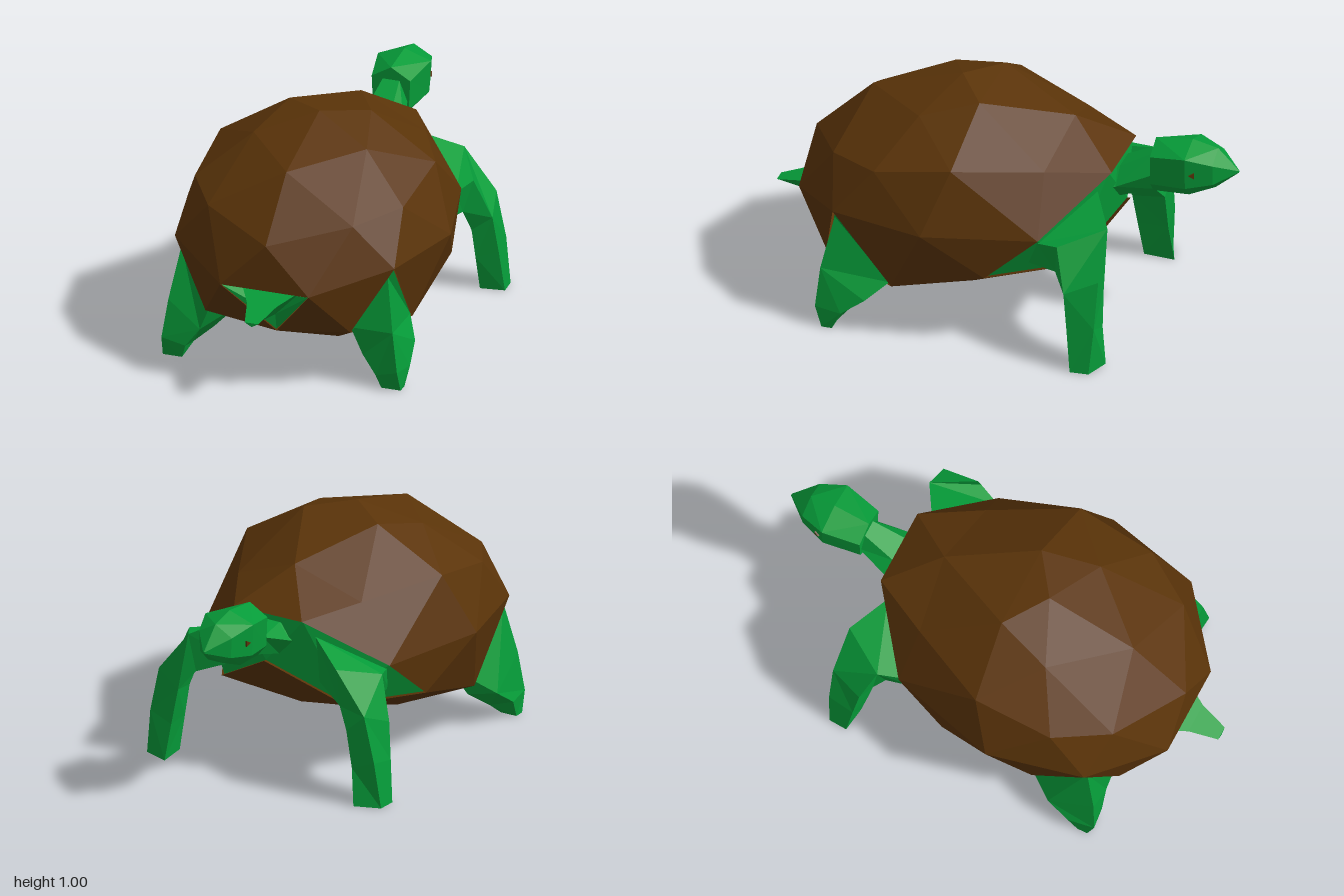
import * as THREE from 'three';

const mat = (name, color) => new THREE.MeshStandardMaterial({
  name, color, flatShading: true, side: THREE.DoubleSide,
});

// Flat-shaded geometry from a list of [a, b, c] corner triples
function facets(tris) {
  const g = new THREE.BufferGeometry();
  g.setAttribute('position', new THREE.Float32BufferAttribute(tris.flat(2), 3));
  g.computeVertexNormals();
  return g;
}

// Joins closed cross-sections (equal-length rings of [x, y, z]) into a faceted skin
function loft(rings, { capStart = false, capEnd = false } = {}) {
  const n = rings[0].length, tris = [];
  for (let i = 0; i < rings.length - 1; i++) {
    for (let j = 0; j < n; j++) {
      const k = (j + 1) % n;
      const a = rings[i][j], b = rings[i][k], c = rings[i + 1][k], d = rings[i + 1][j];
      if ((i + j) % 2) tris.push([a, b, c], [a, c, d]);
      else tris.push([a, b, d], [b, c, d]);
    }
  }
  const cap = (r) => { for (let j = 1; j < n - 1; j++) tris.push([r[0], r[j], r[j + 1]]); };
  if (capStart) cap([...rings[0]].reverse());
  if (capEnd) cap(rings[rings.length - 1]);
  return facets(tris);
}

// Completes a shell ring from its +x half; the last point may lie on the mid-plane
const flip = ([x, y, z]) => [-x, y, z];
const mirrorRing = (half) => {
  const onMid = (p) => p[0] === 0;
  return [...half, ...half.filter((p) => !onMid(p)).reverse().map(flip)];
};

// Shell as a reshaped geodesic dome: rings from crown to keel, starting at the rear (+z)
function shellFaces() {
  const top = [0, 1, 0.2], keel = [0, 0.1, 0.2];
  const A = mirrorRing([[0, 0.885, 0.59], [0.25, 0.91, 0.31], [0.18, 0.975, 0.07]]);
  const B = mirrorRing([[0, 0.65, 0.835], [0.32, 0.715, 0.66], [0.46, 0.735, 0.44],
    [0.475, 0.8, 0.1], [0.3, 0.765, -0.25], [0, 0.885, -0.29]]);
  const C = mirrorRing([[0.195, 0.455, 0.85], [0.485, 0.53, 0.61], [0.58, 0.53, 0.2],
    [0.45, 0.52, -0.27], [0.165, 0.735, -0.5]]);
  const D = mirrorRing([[0, 0.215, 0.705], [0.32, 0.25, 0.69], [0.47, 0.21, 0.36],
    [0.49, 0.33, -0.05], [0.3, 0.35, -0.38], [0, 0.535, -0.53]]);
  const E = mirrorRing([[0.19, 0.125, 0.48], [0.28, 0.19, 0.06], [0, 0.25, -0.24]]);
  const shell = [], openings = [];
  for (let k = 0; k < 5; k++) {
    const n = (k + 1) % 5, j = 2 * k, o = j + 1, e = (j + 2) % 10;
    shell.push([top, A[k], A[n]], [A[k], B[(j + 9) % 10], B[j]], [A[k], B[j], B[o]], [A[k], B[o], A[n]]);
    shell.push([keel, E[n], E[k]], [E[k], D[o], D[j]], [E[k], D[e], D[o]], [E[k], E[n], D[e]]);
  }
  for (let j = 0; j < 10; j++) {
    const p = (j + 9) % 10, n = (j + 1) % 10;
    shell.push([B[j], C[j], B[n]], [B[j], C[p], C[j]]);
    // leg holes at 1 and 8, front opening from 3 to 6
    const down = [C[j], D[j], D[n]], up = [C[p], D[j], C[j]];
    ([1, 3, 4, 5, 6, 8].includes(j) ? openings : shell).push(down);
    if (j >= 4 && j <= 6) openings.push(up);
    else if (j !== 0) shell.push(up); // the tail hole stays open
  }
  return { shell, openings };
}

// Hexagonal ring: z, half-width, bottom, widest and top heights
const hex = ([z, w, b, m, t]) => [
  [w, m, z], [w * 0.5, t, z], [-w * 0.5, t, z], [-w, m, z], [-w * 0.5, b, z], [w * 0.5, b, z],
];

// Head ring: z, half-width, then chin, jaw, brow and crown heights
const skull = ([z, w, chin, jaw, brow, crown]) => [
  [w, brow, z], [0, crown, z], [-w, brow, z],
  [-w * 0.93, jaw, z], [-w * 0.45, chin, z], [w * 0.45, chin, z], [w * 0.93, jaw, z],
];

export function createModel() {
  const model = new THREE.Group();
  model.name = 'turtle';
  const brown = mat('shellBrown', 0x5b3409);
  const green = mat('skinGreen', 0x069c39);
  const add = (name, geometry, material) => {
    const mesh = new THREE.Mesh(geometry, material);
    mesh.name = name;
    model.add(mesh);
    return mesh;
  };

  // Shell, and the body skin set slightly inside its openings
  const { shell, openings } = shellFaces();
  add('shell', facets(shell), brown);
  const inset = ([x, y, z]) => [x * 0.98, 0.5 + (y - 0.5) * 0.98, 0.2 + (z - 0.2) * 0.98];
  add('body', facets(openings.map((t) => t.map(inset))), green);

  // Neck and head
  add('neck', loft([
    [-0.44, 0.13, 0.55, 0.62, 0.69],
    [-0.5, 0.11, 0.57, 0.64, 0.71],
    [-0.65, 0.07, 0.615, 0.7, 0.79],
  ].map(hex)), green);
  add('head', loft([
    [-0.64, 0.085, 0.61, 0.66, 0.79, 0.84],
    [-0.8, 0.117, 0.625, 0.68, 0.82, 0.86],
    [-0.91, 0.08, 0.67, 0.7, 0.79, 0.835],
    [-1.0, 0.004, 0.735, 0.737, 0.743, 0.745],
  ].map(skull), { capStart: true, capEnd: true }), green);

  // Tail, set into the recess at the rear of the shell
  add('tail', loft([
    [[0.19, 0.452, 0.845], [-0.19, 0.452, 0.845], [0, 0.222, 0.705]],
    [[0.135, 0.44, 0.76], [-0.135, 0.44, 0.76], [0, 0.295, 0.72]],
    [[0.065, 0.405, 0.88], [-0.065, 0.405, 0.88], [0, 0.33, 0.87]],
    [[0.03, 0.372, 1], [-0.03, 0.372, 1], [0, 0.355, 1]],
  ], { capEnd: true }), green);

  // Legs and eyes, mirrored left and right
  const frontLeg = [
    [[0.2, 0.66, -0.45], [0.43, 0.5, -0.26], [0.4, 0.39, -0.2], [0.2, 0.45, -0.42]],
    [[0.36, 0.58, -0.545], [0.47, 0.52, -0.36], [0.43, 0.38, -0.34], [0.35, 0.4, -0.5]],
    [[0.5, 0.4, -0.55], [0.535, 0.34, -0.41], [0.45, 0.28, -0.39], [0.41, 0.32, -0.545]],
    [[0.545, 0.2, -0.545], [0.555, 0.18, -0.43], [0.46, 0.15, -0.41], [0.44, 0.16, -0.55]],
    [[0.57, 0, -0.53], [0.575, 0, -0.45], [0.47, 0, -0.435], [0.46, 0, -0.57]],
  ];
  const rearLeg = [
    [[0.455, 0.49, 0.61], [0.465, 0.225, 0.37], [0.25, 0.2, 0.5], [0.31, 0.26, 0.66]],
    [[0.495, 0.26, 0.66], [0.52, 0.15, 0.46], [0.35, 0.095, 0.5], [0.36, 0.14, 0.65]],
    [[0.52, 0.09, 0.675], [0.535, 0.08, 0.56], [0.42, 0.04, 0.56], [0.42, 0.06, 0.66]],
    [[0.525, 0, 0.645], [0.525, 0, 0.6], [0.45, 0, 0.6], [0.44, 0, 0.645]],
  ];
  for (const [side, s] of [['left', 1], ['right', -1]]) {
    const mirror = (rings) => (s > 0 ? rings : rings.map((r) => r.map(flip).reverse()));
    add(side + 'FrontLeg', loft(mirror(frontLeg), { capEnd: true }), green);
    add(side + 'RearLeg', loft(mirror(rearLeg), { capEnd: true }), green);
    // Eye plate turned to lie on the side of the head
    const eye = add(side + 'Eye', new THREE.CylinderGeometry(0.015, 0.015, 0.009, 3), brown);
    eye.rotation.set(0, s * 0.32, Math.PI / 2);
    eye.position.set(s * 0.106, 0.745, -0.83);
  }
  return model;
}
